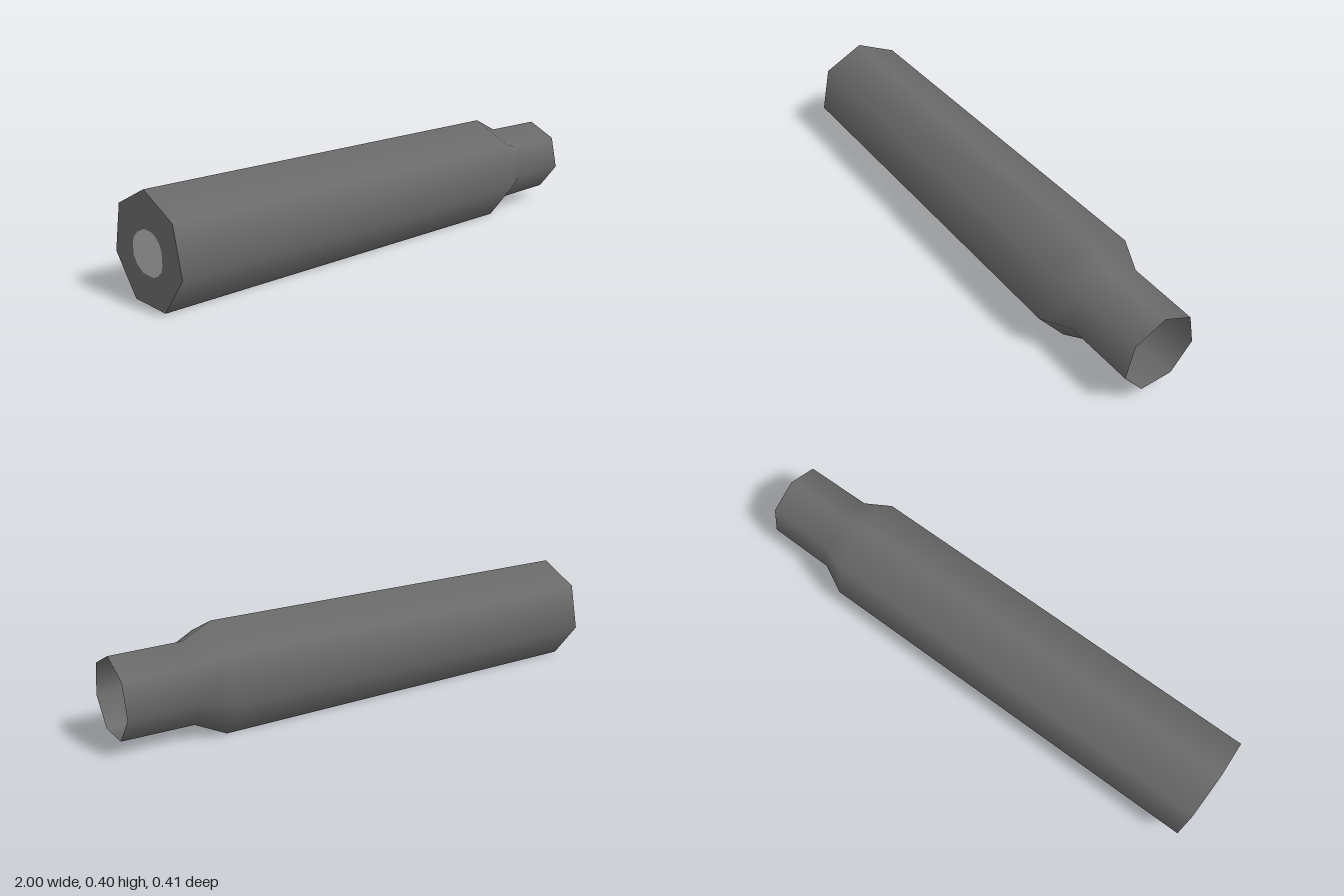
import * as THREE from 'three';

const SIDES = 7, RADIUS = 0.209, AXIS_Y = 0.188;

export function createModel() {
  const group = new THREE.Group();
  const darkMetal = new THREE.MeshStandardMaterial({ color: 0x6b6b6b, side: THREE.DoubleSide });
  darkMetal.name = 'dark metal';
  const paleMetal = new THREE.MeshStandardMaterial({ color: 0xb9b9b9, side: THREE.DoubleSide });
  paleMetal.name = 'pale metal';

  const add = (name, geometry, material) => {
    const mesh = new THREE.Mesh(geometry, material);
    mesh.name = name;
    group.add(mesh);
  };

  // Hollow tube along x: body, sloping shoulder and open neck, one corner on top
  const profile = [[RADIUS, -1], [RADIUS, 0.62], [0.153, 0.73], [0.15, 1]]
    .map(([r, x]) => new THREE.Vector2(r, x));
  const tube = new THREE.LatheGeometry(profile, SIDES, -Math.PI / 2);
  tube.rotateZ(-Math.PI / 2).translate(0, AXIS_Y, 0);
  add('casing', tube, darkMetal);

  // Flat end wall, drawn in (z, y) around the axis, with an opening for the disc
  const wall = new THREE.Shape(Array.from({ length: SIDES }, (_, i) => {
    const a = Math.PI / 2 + i * 2 * Math.PI / SIDES;
    return new THREE.Vector2(RADIUS * Math.cos(a), RADIUS * Math.sin(a));
  }));
  const discPoints = [
    [0.03, 0.262], [-0.012, 0.262], [-0.055, 0.243], [-0.078, 0.222], [-0.088, 0.2],
    [-0.088, 0.157], [-0.07, 0.128], [-0.035, 0.107], [0.03, 0.105], [0.057, 0.117],
    [0.08, 0.137], [0.089, 0.16], [0.089, 0.208], [0.077, 0.234], [0.055, 0.253],
  ].map(([z, y]) => new THREE.Vector2(z, y - AXIS_Y));
  wall.holes.push(new THREE.Path(discPoints));

  const endFace = shape => new THREE.ShapeGeometry(shape)
    .rotateY(-Math.PI / 2).translate(-1, AXIS_Y, 0);
  add('endWall', endFace(wall), darkMetal);
  add('endDisc', endFace(new THREE.Shape(discPoints)), paleMetal);

  return group;
}
